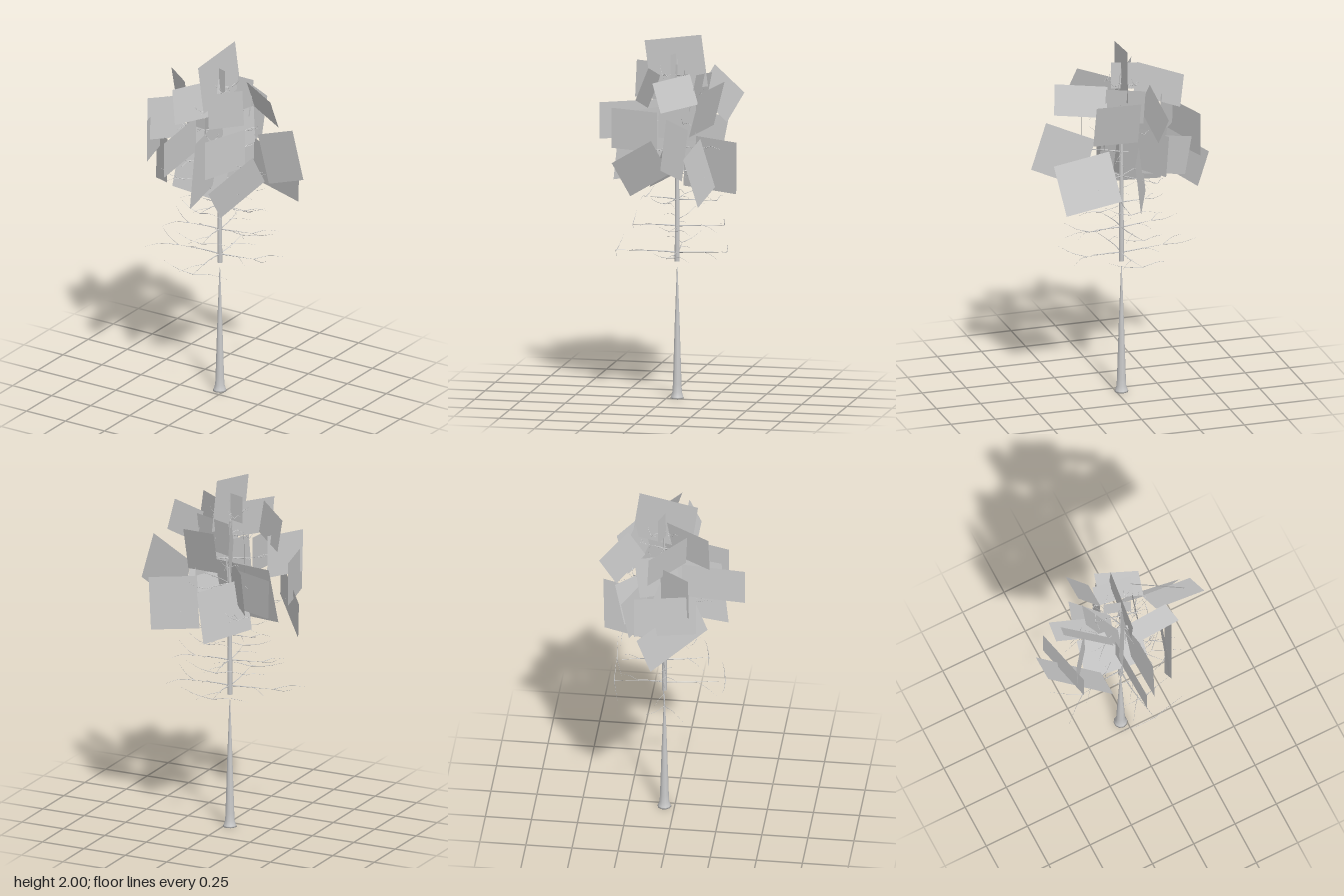
import * as THREE from 'three';

const grey = new THREE.MeshStandardMaterial({ color: 0xcccccc });
const leafGrey = new THREE.MeshStandardMaterial({ color: 0xcccccc, side: THREE.DoubleSide });
const TX = -0.03, TZ = -0.055; // trunk axis
const V = (x, y, z) => new THREE.Vector3(x, y, z);

// Foliage cards, each given by three corners of a rectangle: a, b (along one edge from a), d (along the other)
const leftCards = [
  [-0.495, 1.36, -0.15, -0.245, 1.49, 0.13, -0.455, 1.14, -0.08],
  [-0.37, 1.80, -0.10, -0.165, 1.83, 0.085, -0.345, 1.62, -0.11],
  [-0.385, 1.69, 0.115, -0.255, 1.68, -0.05, -0.38, 1.45, 0.12],
  [-0.365, 1.50, -0.25, -0.13, 1.50, -0.16, -0.34, 1.27, -0.21],
  [-0.44, 1.59, -0.17, -0.36, 1.58, 0.155, -0.44, 1.35, -0.17],
  [-0.22, 1.53, -0.30, -0.06, 1.55, -0.12, -0.22, 1.28, -0.25],
  [-0.19, 1.66, -0.39, -0.13, 1.82, -0.24, -0.16, 1.50, -0.30],
  [-0.10, 1.59, 0.39, -0.115, 1.62, 0.05, -0.10, 1.39, 0.39],
  [-0.17, 1.82, 0.20, -0.02, 1.83, -0.06, -0.15, 1.62, 0.205],
  [-0.19, 1.68, -0.20, -0.08, 1.66, 0.01, -0.18, 1.43, -0.17],
];
const rightCards = [
  [0.09, 1.45, -0.21, 0.395, 1.39, -0.185, 0.04, 1.18, -0.28],
  [0.08, 1.80, -0.15, 0.33, 1.79, 0.00, 0.10, 1.64, -0.20],
  [-0.05, 1.76, 0.04, 0.185, 1.845, 0.055, 0.00, 1.59, 0.10],
  [0.11, 1.30, 0.275, 0.235, 1.455, 0.03, 0.12, 1.125, 0.17],
  [0.09, 1.60, 0.28, 0.175, 1.60, 0.01, 0.09, 1.38, 0.28],
  [0.15, 1.505, -0.155, 0.41, 1.61, -0.095, 0.23, 1.24, -0.14],
];
const centreCards = [
  [-0.28, 1.50, -0.085, 0.07, 1.50, -0.04, -0.28, 1.17, 0.03],
  [-0.06, 1.74, -0.31, 0.165, 1.71, -0.225, -0.06, 1.50, -0.25],
  [0.00, 1.42, -0.39, -0.13, 1.43, -0.07, -0.035, 1.13, -0.38],
  [-0.11, 1.78, -0.23, 0.10, 1.80, -0.19, -0.11, 1.58, -0.19],
  [-0.05, 1.95, 0.13, -0.02, 2.00, -0.19, -0.04, 1.67, 0.09],
  [-0.12, 1.89, -0.08, 0.02, 1.89, -0.03, -0.12, 1.74, -0.08],
  [0.01, 1.56, 0.25, -0.01, 1.62, -0.08, 0.00, 1.19, 0.29],
  [0.04, 1.65, 0.03, 0.10, 1.65, -0.19, 0.05, 1.44, 0.03],
];

function foliageCard(c) {
  const a = V(c[0], c[1], c[2]), b = V(c[3], c[4], c[5]), d = V(c[6], c[7], c[8]);
  const e = b.clone().add(d).sub(a);
  const g = new THREE.BufferGeometry().setFromPoints([a, d, e, b]);
  g.setIndex([0, 1, 2, 0, 2, 3]);
  g.computeVertexNormals();
  const m = new THREE.Mesh(g, leafGrey);
  m.name = 'foliageCard';
  return m;
}

// Tapered limb along a bent path
function limb(points, radius, name) {
  const curve = new THREE.CatmullRomCurve3(points);
  const seg = 6, sides = 4;
  const g = new THREE.TubeGeometry(curve, seg, radius, sides);
  const p = g.attributes.position;
  for (let i = 0; i <= seg; i++) {
    const c = curve.getPointAt(i / seg), k = 1 - 0.85 * i / seg;
    for (let j = 0; j <= sides; j++) {
      const n = i * (sides + 1) + j;
      const v = V(0, 0, 0).fromBufferAttribute(p, n).sub(c).multiplyScalar(k).add(c);
      p.setXYZ(n, v.x, v.y, v.z);
    }
  }
  g.computeVertexNormals();
  const m = new THREE.Mesh(g, grey);
  m.name = name;
  return m;
}

// Branch with a pair of twigs at its end; sweep carries the twigs outwards (+) or back (-)
function branch(angle, y, length, twig, sweep) {
  const group = new THREE.Group();
  group.name = 'branch';
  const dir = V(Math.cos(angle), 0, Math.sin(angle)), side = V(-dir.z, 0, dir.x);
  const at = (r, s, h) => V(TX, y + h, TZ).addScaledVector(dir, r * length).addScaledVector(side, s * twig);
  group.add(limb([at(0, 0, 0), at(0.35, 0.05, 0.004), at(1, 0, 0.006)], 0.004, 'bough'));
  for (const s of [-1, 1]) {
    group.add(limb([at(0.98, 0, 0.006), at(1 + 0.5 * sweep, 0.5 * s, 0.02), at(1 + sweep, s, 0.03 + 0.025 * s)], 0.002, 'twig'));
  }
  group.add(limb([at(0.5, 0, 0.006), at(0.68, 0.3, 0), at(0.85, 0.55, -0.02)], 0.0017, 'twig'));
  return group;
}

export function createModel() {
  const model = new THREE.Group();

  // Flared lower trunk tapering to a point, then the separate upper stem
  const lathe = (name, profile) => {
    const m = new THREE.Mesh(
      new THREE.LatheGeometry(profile.map(([r, y]) => new THREE.Vector2(r, y)), 10), grey);
    m.position.set(TX, 0, TZ);
    m.name = name;
    model.add(m);
  };
  lathe('lowerTrunk', [[0, 0], [0.038, 0], [0.034, 0.008], [0.026, 0.035], [0.024, 0.08], [0.014, 0.4], [0.002, 0.72]]);
  lathe('upperTrunk', [[0, 0.75], [0.014, 0.75], [0.013, 0.95], [0.01, 1.3], [0.006, 1.6], [0.001, 1.86]]);

  // Whorls: height, reach of the front and back branches, twig length, first angle; the side branches are short with outward twigs
  const whorls = [
    [0.80, 0.335, 0.275, 0.20, 1.45], [0.945, 0.245, 0.26, 0.17, 1.4], [1.09, 0.18, 0.23, 0.14, 1.65], [1.24, 0.26, 0.24, 0.08, 0.9],
    [1.38, 0.23, 0.22, 0.07, 0.4], [1.52, 0.20, 0.18, 0.06, 1.1], [1.66, 0.15, 0.14, 0.05, 0.2], [1.77, 0.09, 0.09, 0.04, 0.8],
  ];
  const branches = new THREE.Group();
  branches.name = 'branches';
  for (const [y, front, back, twig, start] of whorls)
    [front, front * 0.75, back, back * 0.75].forEach((length, i) => {
      const short = i % 2 === 1;
      branches.add(branch(start + i * Math.PI / 2, y, length, twig * (short ? 0.5 : 1), short ? 0.6 : -0.08));
    });
  model.add(branches);

  // Crown of flat cards
  const foliage = new THREE.Group();
  foliage.name = 'foliage';
  for (const c of [...leftCards, ...rightCards, ...centreCards]) foliage.add(foliageCard(c));
  model.add(foliage);
  return model;
}
